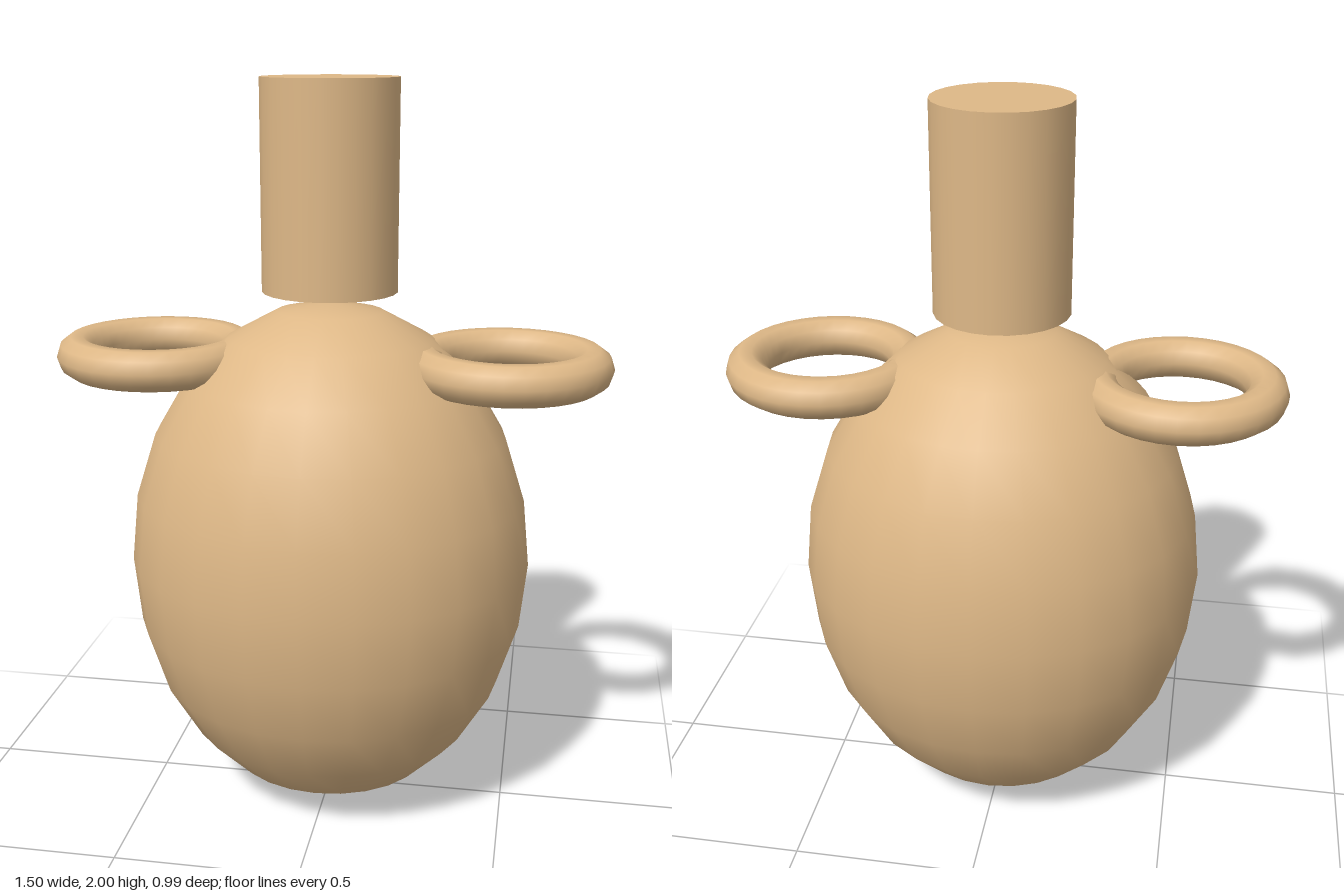
import * as THREE from 'three';

export function createModel() {
  const model = new THREE.Group();
  const clay = new THREE.MeshStandardMaterial({ color: 0xdeb887 });
  clay.name = 'tan clay';

  function add(name, geometry, x, y) {
    const mesh = new THREE.Mesh(geometry, clay);
    mesh.name = name;
    mesh.position.set(x, y, 0);
    model.add(mesh);
    return mesh;
  }

  // Egg-shaped body, slightly narrower in depth
  const body = new THREE.SphereGeometry(1, 24, 12).scale(0.55, 0.713, 0.495);
  add('body', body, 0, 0.713);

  // Solid neck, floating just above the body
  add('neck', new THREE.CylinderGeometry(0.18, 0.18, 0.545, 24), 0, 1.7275);

  // Flat ring handles sunk into the shoulders
  const ring = new THREE.TorusGeometry(0.22, 0.055, 10, 32).rotateX(Math.PI / 2);
  for (const side of [1, -1]) {
    add(side > 0 ? 'leftHandle' : 'rightHandle', ring, side * 0.475, 1.27);
  }
  return model;
}
